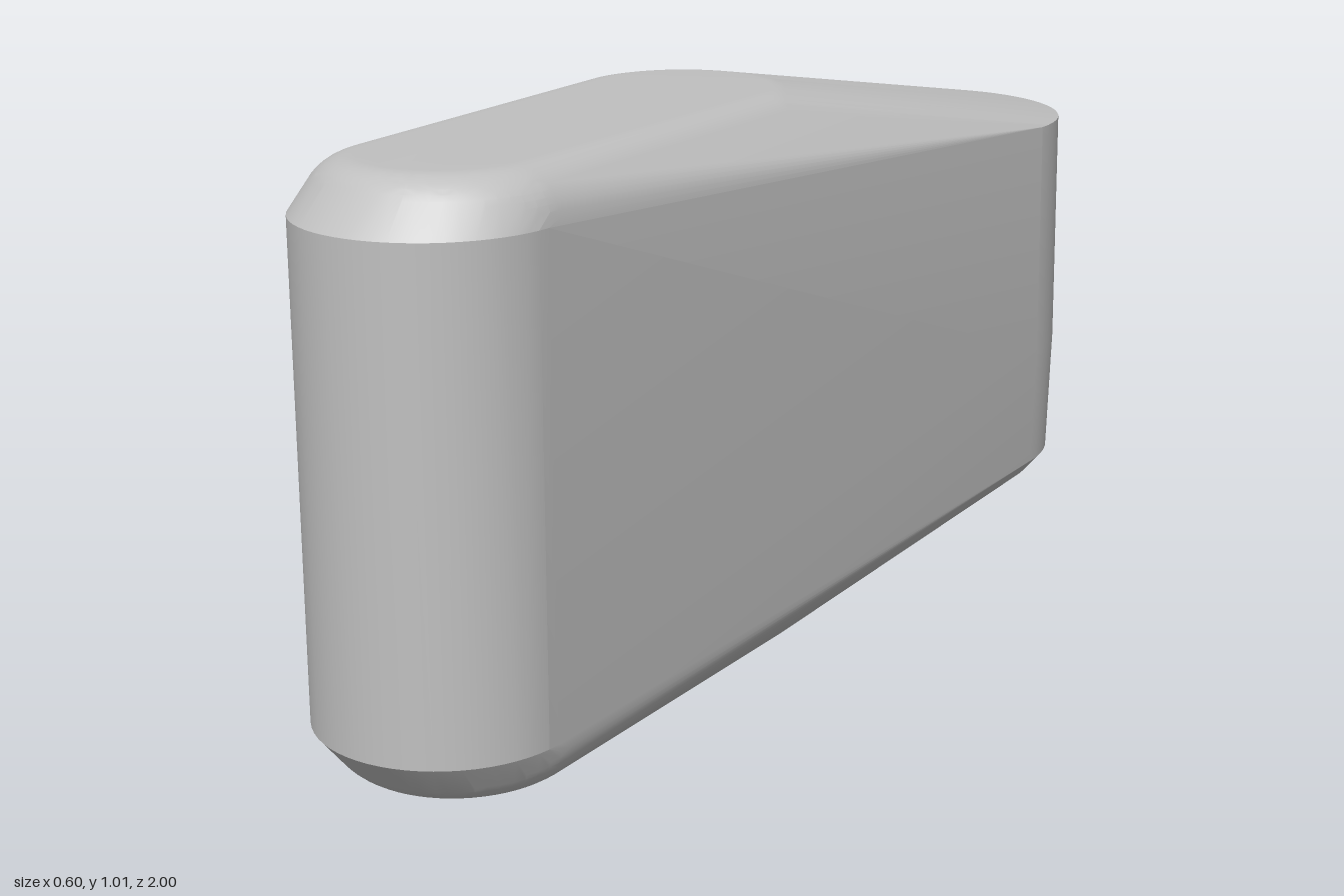
import * as THREE from 'three';
import { ConvexGeometry } from 'three/addons/geometries/ConvexGeometry.js';
import { toCreasedNormals } from 'three/addons/utils/BufferGeometryUtils.js';

const SEGMENTS = 64;
const HEIGHT = 1.015;

// Points of an upright round post; profile is a list of [radius, y]
function post(cx, cz, profile) {
  const points = [];
  for (const [r, y] of profile) {
    for (let i = 0; i < SEGMENTS; i++) {
      const a = (i / SEGMENTS) * Math.PI * 2;
      points.push(new THREE.Vector3(cx + r * Math.sin(a), y, cz + r * Math.cos(a)));
    }
  }
  return points;
}

// Profile of a full-height post with rounded rims, top and bottom
function roundedProfile(r, fillet) {
  const profile = [];
  const steps = 12;
  for (let i = 0; i <= steps; i++) {
    const a = (i / steps) * Math.PI / 2;
    const rr = r - fillet + fillet * Math.cos(a);
    const rise = fillet * Math.sin(a);
    profile.push([rr, HEIGHT - fillet + rise], [rr, fillet - rise]);
  }
  return profile;
}

export function createModel() {
  const grey = new THREE.MeshStandardMaterial({ color: 0xc0c0c0 });
  grey.name = 'light grey';

  // The body is the taut skin around a few upright posts
  const points = [
    ...post(0, 0.775, [[0.225, 0.09], [0.225, 0.93]]),                     // front nose
    ...post(0, 0.745, roundedProfile(0.225, 0.085)),                       // front rounded rims
    ...post(-0.04, 0.05, roundedProfile(0.245, 0.085)),                    // middle of the flat top
    ...post(-0.04, -0.25, [[0.262, 0.4]]),                                 // slight side bulge
    ...post(0.005, -0.71, [[0.25, 0.125], [0.284, 0.165], [0.29, 0.4], [0.285, 0.855]]), // rear end
  ];

  const body = new THREE.Mesh(toCreasedNormals(new ConvexGeometry(points), 0.15), grey);
  body.name = 'body';

  const group = new THREE.Group();
  group.name = 'roundedWedge';
  group.add(body);
  return group;
}
